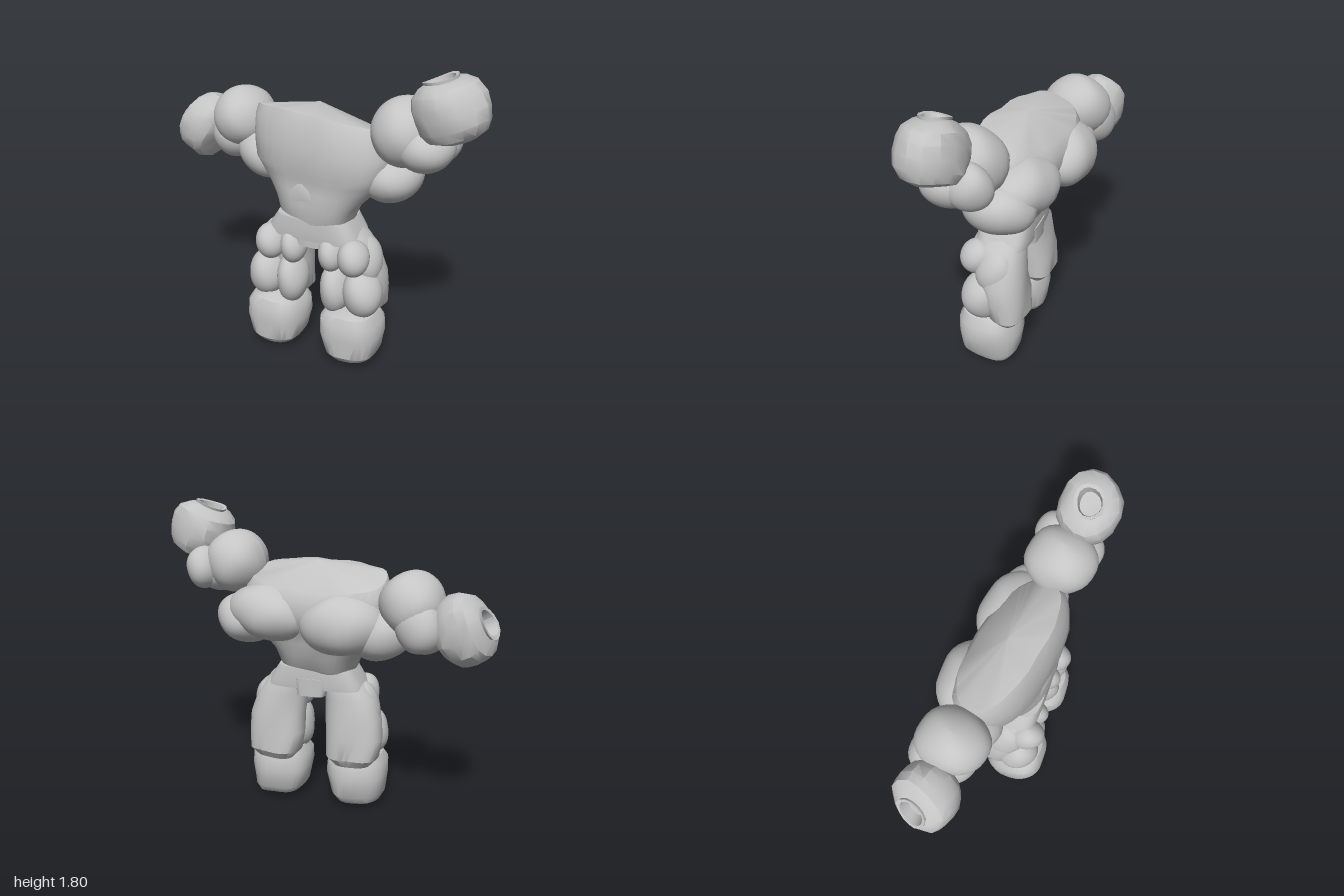
import * as THREE from 'three';
import { toCreasedNormals } from 'three/addons/utils/BufferGeometryUtils.js';

const grey = new THREE.MeshStandardMaterial({ color: 0xc4c4c4 });
grey.name = 'grey clay';

// gentle sculpted unevenness, depending only on position
function sculpt(geo, amount) {
  const p = geo.attributes.position;
  for (let i = 0; i < p.count; i++) {
    const x = p.getX(i), y = p.getY(i), z = p.getZ(i);
    p.setXYZ(i,
      x + amount * Math.sin(23 * y + 17 * z + 1),
      y + amount * Math.sin(19 * z + 21 * x + 2),
      z + amount * Math.sin(25 * x + 16 * y));
  }
  return geo;
}

function add(parent, name, geo, pos = [0, 0, 0]) {
  const m = new THREE.Mesh(geo, grey);
  m.name = name;
  m.position.set(...pos);
  parent.add(m);
  return m;
}

// closed skin over rings [y, centreX, centreZ, halfWidth, halfDepth, tilt]; peak is the height of the top centre
function loft(rings, { power = 2.6, yaw = 0, sides = 36, crease = 0.6, rough = 0.004, peak } = {}) {
  const pos = [], index = [];
  const first = rings[0], last = rings[rings.length - 1];
  const all = [[first[0], first[1], first[2], 0, 0], ...rings, [peak ?? last[0], last[1], last[2], 0, 0]];
  const bend = (v) => Math.sign(v) * Math.pow(Math.abs(v), 2 / power);
  for (const [y, cx, cz, w, d, tilt = 0] of all) {
    for (let k = 0; k < sides; k++) {
      const a = (k / sides) * Math.PI * 2;
      const u = w * bend(Math.cos(a)), v = -d * bend(Math.sin(a));
      const x = u * Math.cos(yaw) + v * Math.sin(yaw);
      const z = -u * Math.sin(yaw) + v * Math.cos(yaw);
      pos.push(cx + x, y + tilt * v, cz + z);
    }
  }
  for (let r = 0; r < all.length - 1; r++) {
    for (let k = 0; k < sides; k++) {
      const a = r * sides + k, b = r * sides + (k + 1) % sides;
      index.push(a, b, b + sides, a, b + sides, a + sides);
    }
  }
  const geo = new THREE.BufferGeometry();
  geo.setAttribute('position', new THREE.Float32BufferAttribute(pos, 3));
  geo.setIndex(index);
  sculpt(geo, rough);
  return toCreasedNormals(geo, crease);
}

// rounded muscle lobe
function lobe(parent, name, pos, radii, turn = [0, 0, 0]) {
  const geo = new THREE.SphereGeometry(1, 28, 20).scale(...radii);
  sculpt(geo, 0.004);
  geo.computeVertexNormals();
  add(parent, name, geo, pos).rotation.set(...turn);
}

// boxy barrel forearm with an open socket at its far end
function forearm(parent, name, pos, axis, size) {
  const profile = [[0, -0.165], [0.09, -0.16], [0.145, -0.135], [0.175, -0.085], [0.182, -0.02], [0.178, 0.05],
    [0.16, 0.105], [0.115, 0.142], [0.085, 0.15], [0.088, 0.165], [0.07, 0.16], [0.06, 0.09], [0, 0.08]];
  const geo = new THREE.LatheGeometry(profile.map(([r, y]) => new THREE.Vector2(r, y)), 14);
  geo.scale(...size);
  sculpt(geo, 0.006);
  const m = add(parent, name, toCreasedNormals(geo, 0.6), pos);
  m.quaternion.setFromUnitVectors(new THREE.Vector3(0, 1, 0), new THREE.Vector3(...axis).normalize());
}

export function createModel() {
  const model = new THREE.Group();
  model.name = 'muscular figure';

  // torso: narrow waist, chest overhang, top sloping down to the back, turned to its right
  const torso = new THREE.Group();
  torso.name = 'torso';
  model.add(torso);
  add(torso, 'trunk', loft([
    [0.84, 0.04, 0.08, 0.21, 0.14],
    [0.88, 0.04, 0.07, 0.23, 0.16],
    [0.96, 0.04, 0.06, 0.26, 0.18],
    [1.04, 0.04, 0.04, 0.33, 0.19],
    [1.11, 0.04, 0.03, 0.4, 0.195],
    [1.16, 0.04, 0.02, 0.43, 0.22],
    [1.26, 0.04, 0.01, 0.45, 0.22, 0.15],
    [1.36, 0.03, 0.0, 0.44, 0.205, 0.3],
    [1.415, 0.02, 0.0, 0.41, 0.175, 0.35],
  ], { yaw: -0.2, power: 2.5, peak: 1.5 }));
  lobe(torso, 'abdomen', [0.05, 1.0, 0.15], [0.18, 0.15, 0.09]);
  lobe(torso, 'leftSideMuscle', [0.455, 1.145, 0.0], [0.175, 0.145, 0.2], [0, -0.1, 0.25]);
  lobe(torso, 'rightSideMuscle', [-0.37, 1.13, -0.09], [0.19, 0.15, 0.18], [0, -0.2, -0.45]);
  lobe(torso, 'leftShoulderBlade', [0.29, 1.2, -0.08], [0.25, 0.16, 0.175], [0, -0.15, 0.1]);
  lobe(torso, 'rightShoulderBlade', [-0.17, 1.18, -0.17], [0.24, 0.17, 0.165], [0, 0.1, -0.1]);

  // flared belt with a central flap
  add(model, 'belt', loft([
    [0.755, 0.045, 0.075, 0.29, 0.155],
    [0.8, 0.045, 0.075, 0.27, 0.16],
    [0.88, 0.045, 0.075, 0.22, 0.155],
  ], { power: 4, rough: 0, crease: 0.5 }));
  add(model, 'beltFlap', loft([
    [0.715, 0.05, 0.07, 0.085, 0.16],
    [0.82, 0.05, 0.07, 0.11, 0.16],
  ], { power: 6, rough: 0, crease: 0.5 }));

  // legs, mirrored about the hip centre
  for (const s of [-1, 1]) {
    const leg = new THREE.Group();
    leg.name = s > 0 ? 'leftLeg' : 'rightLeg';
    model.add(leg);
    const X = (d) => 0.052 + s * d;
    add(leg, 'thigh', loft([
      [0.29, X(0.24), 0.0, 0.11, 0.07],
      [0.34, X(0.24), 0.01, 0.155, 0.115],
      [0.46, X(0.24), 0.025, 0.17, 0.125],
      [0.56, X(0.235), 0.04, 0.165, 0.125],
      [0.7, X(0.21), 0.06, 0.15, 0.13],
      [0.78, X(0.17), 0.07, 0.125, 0.125],
      [0.83, X(0.14), 0.07, 0.09, 0.11],
    ], { power: 2.4 }));
    lobe(leg, 'outerUpperThigh', [X(0.26), 0.685, 0.19], [0.092, 0.107, 0.105]);
    lobe(leg, 'innerUpperThigh', [X(0.12), 0.68, 0.17], [0.078, 0.11, 0.105]);
    lobe(leg, 'outerLowerThigh', [X(0.305), 0.455, 0.15], [0.115, 0.145, 0.125], [0, 0, s * 0.1]);
    lobe(leg, 'innerLowerThigh', [X(0.14), 0.45, 0.15], [0.092, 0.155, 0.12]);
    lobe(leg, 'outerHip', [X(0.295), 0.63, 0.07], [0.09, 0.15, 0.12], [0, 0, s * 0.2]);
    add(leg, 'foot', loft([
      [0.005, X(0.23), 0.11, 0.06, 0.06],
      [0.035, X(0.25), 0.12, 0.13, 0.14],
      [0.08, X(0.245), 0.125, 0.16, 0.175],
      [0.2, X(0.24), 0.125, 0.183, 0.187],
      [0.28, X(0.24), 0.13, 0.175, 0.175],
      [0.33, X(0.24), 0.13, 0.145, 0.15],
      [0.355, X(0.24), 0.13, 0.09, 0.1],
    ], { power: 2.5, sides: 28 }));
  }

  // raised left arm
  const leftArm = new THREE.Group();
  leftArm.name = 'leftArm';
  model.add(leftArm);
  lobe(leftArm, 'leftShoulder', [0.56, 1.445, 0.11], [0.182, 0.185, 0.2]);
  lobe(leftArm, 'leftUpperArm', [0.68, 1.39, 0.14], [0.155, 0.13, 0.175], [0, 0, 0.15]);
  lobe(leftArm, 'leftElbow', [0.74, 1.41, 0.03], [0.1, 0.125, 0.12]);
  forearm(leftArm, 'leftForearm', [0.808, 1.617, 0.178], [-0.35, 0.94, 0], [1.07, 0.98, 0.95]);

  // lowered right arm
  const rightArm = new THREE.Group();
  rightArm.name = 'rightArm';
  model.add(rightArm);
  lobe(rightArm, 'rightShoulder', [-0.54, 1.31, -0.11], [0.18, 0.18, 0.2]);
  lobe(rightArm, 'rightUpperArm', [-0.6, 1.19, -0.12], [0.145, 0.145, 0.16], [0, 0, 0.3]);
  lobe(rightArm, 'rightElbow', [-0.6, 1.21, -0.23], [0.125, 0.14, 0.1]);
  forearm(rightArm, 'rightForearm', [-0.835, 1.205, -0.155], [-0.87, 0.42, -0.25], [1.1, 0.84, 0.97]);

  return model;
}
